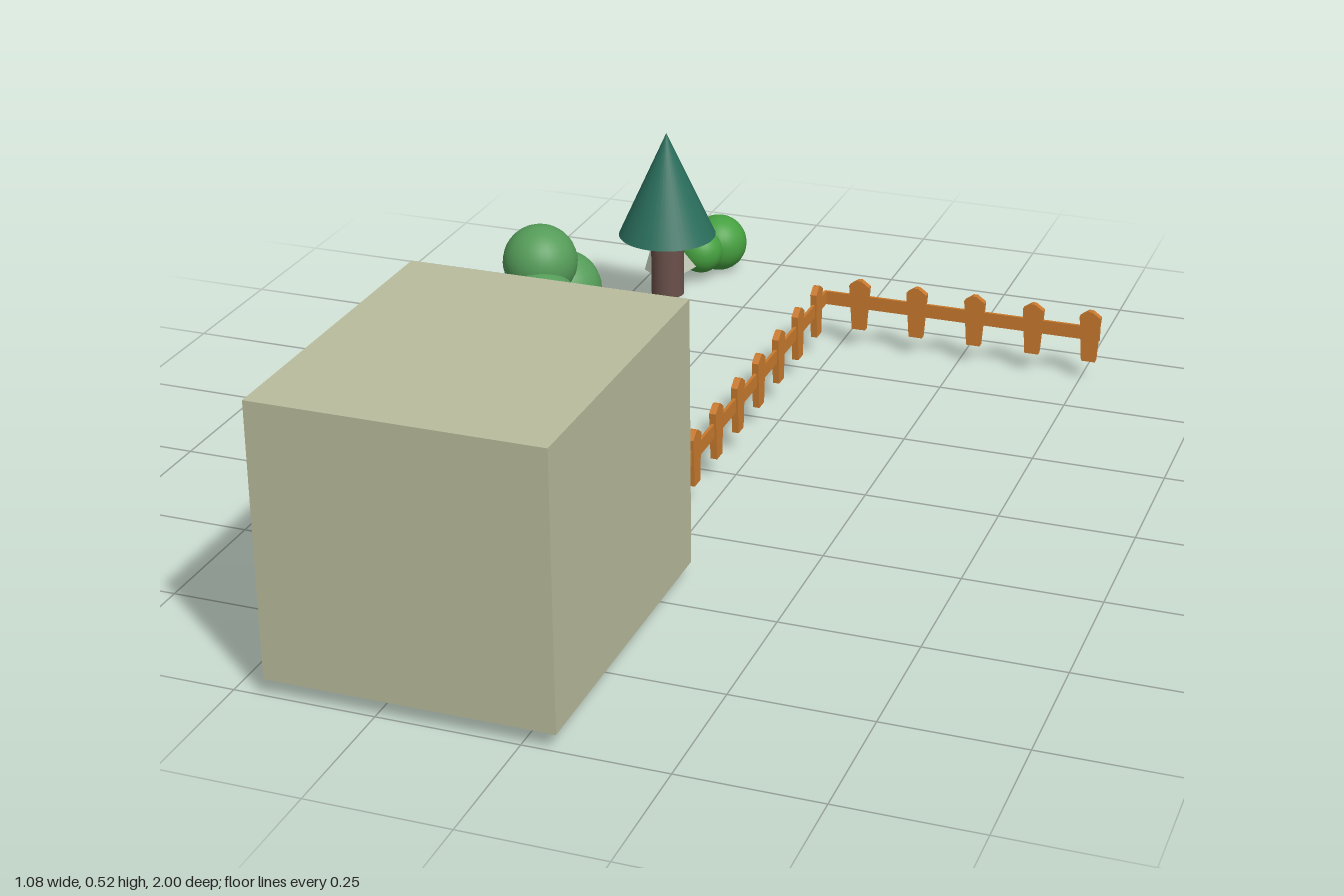
import * as THREE from 'three';

const mat = (color, extra = {}) => new THREE.MeshStandardMaterial({ color, ...extra });
const wallMat = mat(0xb8bc9c, { side: THREE.DoubleSide });
const woodMat = mat(0xc87a2e, { flatShading: true });
const blackMat = mat(0x242426), keyMat = mat(0x3a3a3e);
const bushMat = mat(0x46a040), leafMat = mat(0x559c59), pineMat = mat(0x2a6e5c);
const barkMat = mat(0xd08d70), darkBarkMat = mat(0x6b504a);
const rockMat = mat(0xbfc4b4, { flatShading: true });

function add(parent, name, geo, material, x = 0, y = 0, z = 0) {
  const m = new THREE.Mesh(geo, material);
  m.name = name;
  m.position.set(x, y, z);
  parent.add(m);
  return m;
}

function group(parent, name, x = 0, y = 0, z = 0) {
  const g = new THREE.Group();
  g.name = name;
  g.position.set(x, y, z);
  parent.add(g);
  return g;
}

// Box without some sides (order: +x, -x, +y, -y, +z, -z)
function openBox(w, h, d, omit) {
  const g = new THREE.BoxGeometry(w, h, d);
  const idx = Array.from(g.index.array).filter((_, i) => !omit.includes(Math.floor(i / 6)));
  g.setIndex(idx);
  g.clearGroups();
  return g;
}

function polygon(points) {
  return new THREE.Shape(points.map(([x, y]) => new THREE.Vector2(x, y)));
}

function extrude(shape, depth, bevel = 0) {
  const g = new THREE.ExtrudeGeometry(shape, {
    depth, bevelEnabled: bevel > 0, bevelSize: bevel, bevelThickness: bevel, bevelSegments: 3, curveSegments: 8,
  });
  return g.translate(0, 0, -depth / 2);
}

function ball(parent, name, material, x, y, z, r) {
  return add(parent, name, new THREE.SphereGeometry(r, 28, 20), material, x, y, z);
}

// Hollow block with a doorway leading into an inner passage
function buildHouse(root) {
  const g = group(root, 'house');
  add(g, 'houseShell', openBox(0.505, 0.49, 0.6, [3, 5]), wallMat, -0.1925, 0.275, 0.7);
  const wall = polygon([[-0.445, 0.03], [0.06, 0.03], [0.06, 0.52], [-0.445, 0.52]]);
  wall.holes.push(polygon([[-0.26, 0.05], [-0.26, 0.27], [-0.12, 0.27], [-0.12, 0.05]]));
  add(g, 'doorWall', new THREE.ShapeGeometry(wall), wallMat, 0, 0, 0.4);
  add(g, 'doorPassage', openBox(0.14, 0.22, 0.41, [5]), wallMat, -0.19, 0.16, 0.605);
  add(g, 'doorStep', new THREE.BoxGeometry(0.095, 0.02, 0.06), darkBarkMat, -0.1875, 0.045, 0.365);
}

// Straight fence along local x: one rail and pointed, tapered posts
function buildFence(parent, name, from, to, posts) {
  const g = group(parent, name);
  add(g, 'rail', new THREE.BoxGeometry(to - from, 0.028, 0.006), woodMat, (from + to) / 2, 0.099, 0);
  const post = extrude(polygon([
    [-0.014, 0.04], [0.014, 0.04], [0.021, 0.134], [0.004, 0.146], [-0.004, 0.146], [-0.021, 0.134],
  ]), 0.013);
  posts.forEach((x) => add(g, 'post', post, woodMat, x, 0, 0));
  return g;
}

function buildFences(root) {
  const back = buildFence(root, 'backFence', -0.033, 0.535, [0.04, 0.16, 0.28, 0.4, 0.515]);
  back.position.z = -0.637;
  const positions = Array.from({ length: 9 }, (_, i) => -0.37 + i * 0.1185);
  const side = buildFence(root, 'sideFence', -0.385, 0.637, positions);
  side.rotation.y = Math.PI / 2;
  side.position.x = -0.033;
}

function buildBush(root, x, z, dir) {
  const g = group(root, 'bush', x, 0, z);
  ball(g, 'bushLarge', bushMat, 0, 0.06, 0, 0.06);
  ball(g, 'bushMedium', bushMat, -0.018, 0.062, dir * 0.064, 0.047);
  ball(g, 'bushSmall', bushMat, -0.026, 0.088, dir * 0.036, 0.027);
}

function buildTrees(root) {
  const round = group(root, 'roundTree');
  add(round, 'trunk', new THREE.CylinderGeometry(0.043, 0.045, 0.18, 28), barkMat, -0.446, 0.13, -0.19);
  ball(round, 'crownTop', leafMat, -0.468, 0.287, -0.197, 0.072);
  ball(round, 'crownFront', leafMat, -0.443, 0.215, -0.14, 0.075);
  ball(round, 'crownBack', leafMat, -0.443, 0.215, -0.247, 0.075);

  const pine = group(root, 'pineTree', -0.385, 0, -0.663);
  add(pine, 'trunk', new THREE.CylinderGeometry(0.034, 0.034, 0.15, 24), darkBarkMat, 0, 0.125, 0);
  add(pine, 'crown', new THREE.ConeGeometry(0.1, 0.22, 40), pineMat, 0, 0.291, 0);
}

// Wedge-like stones with a flat, shifted top
function buildRock(root, x, z, sx, sz, h, turn, shift) {
  const geo = new THREE.CylinderGeometry(0.6, 1, 1, 6);
  const p = geo.attributes.position;
  for (let i = 0; i < p.count; i++) if (p.getY(i) > 0) p.setX(i, p.getX(i) + shift);
  geo.scale(sx, h, sz);
  add(root, 'rock', geo, rockMat, x, 0.043 + h / 2, z).rotation.y = turn;
}

// Open folding computer: flat keyboard half and lid leaning back
function buildLaptop(root) {
  const g = group(root, 'laptop', 0, 0, 0.052);
  add(g, 'base', new THREE.BoxGeometry(0.11, 0.008, 0.165), blackMat, -0.38, 0.05, 0);
  const lid = add(g, 'lid', new THREE.BoxGeometry(0.083, 0.006, 0.165), blackMat, -0.462, 0.084, 0);
  lid.rotation.z = -0.84;
  add(g, 'touchpad', new THREE.BoxGeometry(0.025, 0.002, 0.05), keyMat, -0.343, 0.0545, 0);
  for (let row = 0; row < 4; row++)
    add(g, 'keyRow', new THREE.BoxGeometry(0.009, 0.002, 0.14), keyMat, -0.415 + row * 0.014, 0.0545, 0);
  const hinge = add(g, 'hinge', new THREE.CylinderGeometry(0.005, 0.005, 0.12, 12), keyMat, -0.433, 0.053, 0);
  hinge.rotation.x = Math.PI / 2;
}

// Handheld controller with two grips
function buildController(root) {
  const g = group(root, 'controller', -0.385, 0.066, -0.448);
  const s = new THREE.Shape();
  s.moveTo(0, -0.045);
  s.lineTo(0.055, -0.047);
  s.bezierCurveTo(0.08, -0.05, 0.086, -0.02, 0.086, 0.045);
  s.bezierCurveTo(0.086, 0.055, 0.066, 0.055, 0.062, 0.04);
  s.bezierCurveTo(0.055, 0.012, 0.045, 0.008, 0.03, 0.008);
  s.lineTo(-0.03, 0.008);
  s.bezierCurveTo(-0.045, 0.008, -0.055, 0.012, -0.062, 0.04);
  s.bezierCurveTo(-0.066, 0.055, -0.086, 0.055, -0.086, 0.045);
  s.bezierCurveTo(-0.086, -0.02, -0.08, -0.05, -0.055, -0.047);
  const body = extrude(s, 0.014, 0.007).rotateX(Math.PI / 2).rotateY(Math.PI / 2);
  const p = body.attributes.position;
  // grips droop towards their tips
  for (let i = 0; i < p.count; i++) p.setY(i, p.getY(i) + 0.006 - Math.max(0, p.getX(i)) * 0.28);
  body.computeVertexNormals();
  add(g, 'controllerBody', body, blackMat);
  for (const side of [-1, 1]) {
    add(g, 'stick', new THREE.CylinderGeometry(0.011, 0.008, 0.012, 16), keyMat, -0.004, 0.025, side * 0.027);
    add(g, 'trigger', new THREE.BoxGeometry(0.012, 0.014, 0.03), blackMat, -0.05, 0.004, side * 0.055);
    add(g, 'buttonPad', new THREE.CylinderGeometry(0.013, 0.013, 0.004, 16), keyMat, -0.024, 0.021, side * 0.056);
  }
}

export function createModel() {
  const root = new THREE.Group();
  root.name = 'gardenScene';
  buildHouse(root);
  buildFences(root);
  buildBush(root, -0.382, 0.255, 1);
  buildBush(root, -0.372, -0.94, 1);
  buildTrees(root);
  buildRock(root, -0.4, -0.092, 0.062, 0.042, 0.032, 0.3, 0.15);
  buildRock(root, -0.433, -0.805, 0.058, 0.045, 0.045, 0.9, -0.2);
  buildLaptop(root);
  buildController(root);
  return root;
}
